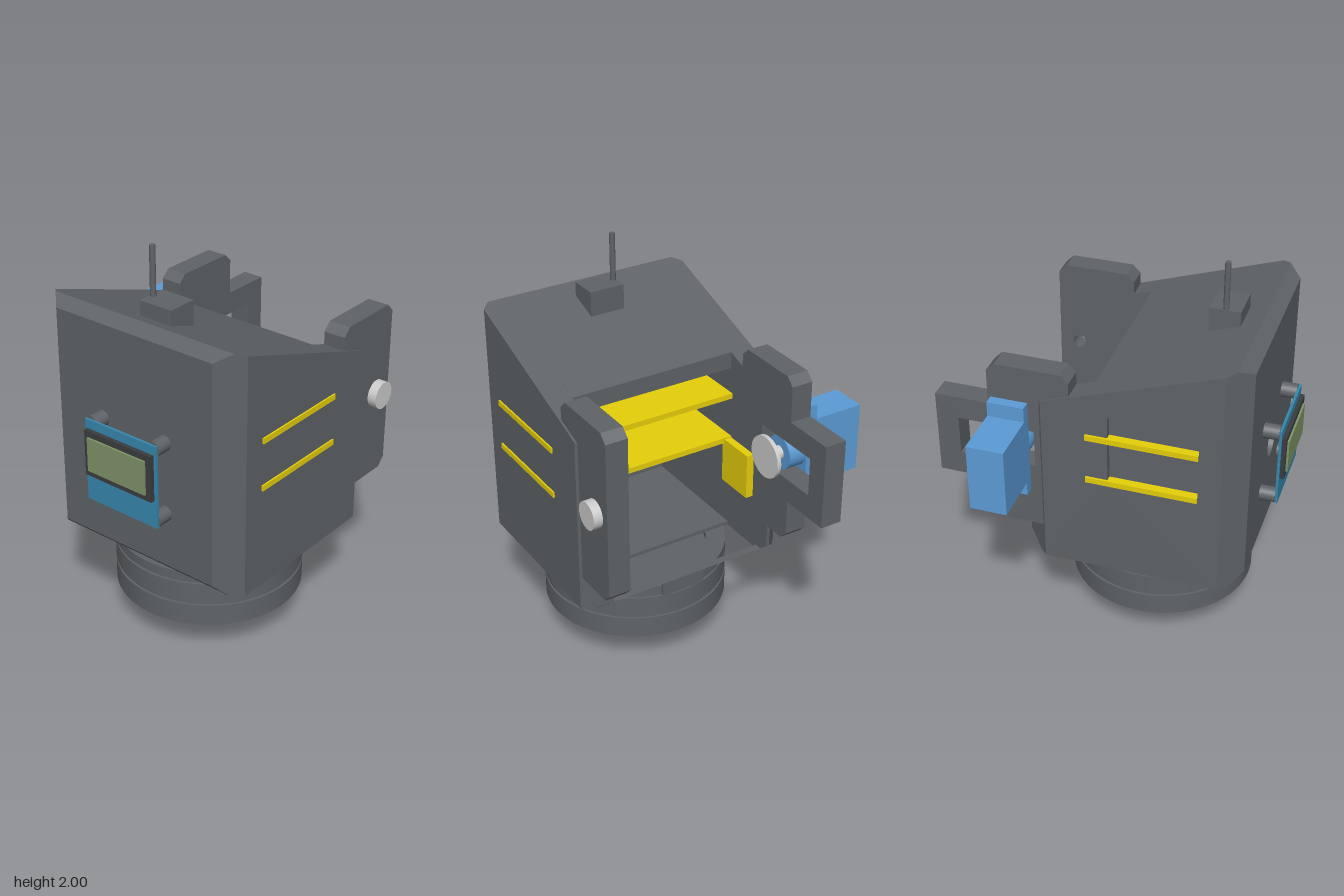
import * as THREE from 'three';
import { toCreasedNormals } from 'three/addons/utils/BufferGeometryUtils.js';

const mat = (color) => new THREE.MeshStandardMaterial({ color });
const ZC = 0.13; // the body and base are centred on this z
const AXIS = [0.435, 1.125]; // pivot axis of the ears (x, y)

const polygon = (points) => new THREE.Shape(points.map(([x, y]) => new THREE.Vector2(x, y)));
const rect = (x1, x2, y1, y2) => polygon([[x1, y1], [x2, y1], [x2, y2], [x1, y2]]);
const circle = (x, y, r) => new THREE.Shape().absarc(x, y, r, 0, Math.PI * 2);

export function createModel() {
  const model = new THREE.Group();
  const dark = mat(0x5f6367), yellow = mat(0xe6cf0a), blue = mat(0x5b9bd5);
  const teal = mat(0x3787ad), green = mat(0x7f9468), black = mat(0x3a3d40), pale = mat(0xcccccc);

  const add = (name, geometry, material) => {
    const mesh = new THREE.Mesh(geometry, material);
    mesh.name = name;
    model.add(mesh);
    return mesh;
  };
  const box = (name, material, x1, x2, y1, y2, z1, z2) =>
    add(name, new THREE.BoxGeometry(x2 - x1, y2 - y1, z2 - z1), material)
      .position.set((x1 + x2) / 2, (y1 + y2) / 2, (z1 + z2) / 2);
  const extrude = (shape, depth) =>
    new THREE.ExtrudeGeometry(shape, { depth, bevelEnabled: false, curveSegments: 32 });
  const slab = (name, shape, z1, z2, material = dark) =>
    add(name, extrude(shape, z2 - z1).translate(0, 0, z1), material);
  const rodZ = (name, material, x, y, r, z1, z2) =>
    add(name, new THREE.CylinderGeometry(r, r, z2 - z1, 40).rotateX(Math.PI / 2), material)
      .position.set(x, y, (z1 + z2) / 2);

  // Base: foot, lower disc with a pocket, grooved upper drum with a recessed top
  const baseDisc = rect(-0.46, 0.46, 0, 0) && circle(0, 0, 0.46);
  baseDisc.holes.push(rect(-0.4, -0.19, -0.11, 0.11));
  const foot = circle(0, 0, 0.19);
  foot.holes.push(circle(0, 0, 0.025));
  for (const [name, shape, y, height] of [['baseFoot', foot, 0, 0.19], ['baseDisc', baseDisc, 0.19, 0.11]]) {
    const g = new THREE.ExtrudeGeometry(shape, { depth: height, bevelEnabled: false, curveSegments: 64 });
    add(name, toCreasedNormals(g.rotateX(-Math.PI / 2), 0.5), dark).position.set(-0.155, y, ZC);
  }
  const drum = [[0, 0.3], [0.448, 0.3], [0.448, 0.315], [0.46, 0.315], [0.46, 0.42], [0.448, 0.42],
    [0.448, 0.432], [0.46, 0.432], [0.46, 0.48], [0.36, 0.48], [0.36, 0.44], [0, 0.44]];
  add('baseDrum', toCreasedNormals(
    new THREE.LatheGeometry(drum.map(([x, y]) => new THREE.Vector2(x, y)), 80), 0.5), dark)
    .position.set(-0.155, 0, ZC);
  box('baseTab', dark, 0.293, 0.308, 0.43, 0.52, 0.015, 0.245);

  // Side walls in three prisms; the outer face narrows toward both ends
  const rear = [[-0.685, 0.575], [-0.62, 0.51], [-0.58, 0.51], [-0.58, 1.706], [-0.62, 1.72], [-0.685, 1.68]];
  const middle = [[-0.58, 0.51], [0.28, 0.51], [0.28, 1.41], [-0.58, 1.706]];
  const front = [[0.28, 0.51], [0.315, 0.51], [0.39, 0.575], [0.39, 0.69], [0.295, 0.69], [0.295, 1.405], [0.28, 1.41]];
  const halfWidth = (x) => 0.55 - Math.max(0, -0.58 - x, (x - 0.28) * 0.955);
  for (const side of [1, -1]) {
    for (const points of [rear, front]) {
      const g = extrude(polygon(points), 0.12);
      g.translate(0, 0, side > 0 ? 0.43 : -0.55);
      const p = g.attributes.position;
      for (let i = 0; i < p.count; i++) {
        const w = halfWidth(p.getX(i));
        p.setZ(i, THREE.MathUtils.clamp(p.getZ(i), -w, w));
      }
      g.computeVertexNormals();
      add('sideWallEnd', g, dark).position.z = ZC;
    }
  }
  slab('sideWall', polygon(middle), 0.56, 0.68);
  slab('sideWall', polygon(middle), -0.39, -0.3);
  // Outer skin with a shallow window
  const skin = polygon(middle);
  skin.holes.push(rect(-0.47, -0.04, 1.035, 1.385));
  slab('windowSkin', skin, -0.42, -0.39);

  // Back wall with a cable hole, roof, floor and front lip between the side walls
  const back = rect(-0.56, 0.3, 0.575, 1.68);
  back.holes.push(circle(-ZC, 1.035, 0.08));
  add('backWall', extrude(back, 0.1).rotateY(Math.PI / 2), dark).position.x = -0.685;
  slab('roof', polygon([[-0.685, 1.68], [-0.585, 1.62], [0.05, 1.405], [0.05, 1.49], [-0.62, 1.72]]), -0.3, 0.56);
  slab('floor', polygon([[-0.685, 0.575], [-0.62, 0.51], [0.05, 0.51], [0.05, 0.53], [-0.585, 0.53], [-0.585, 0.575]]), -0.3, 0.56);
  slab('frontLip', polygon([[0.3, 0.51], [0.315, 0.51], [0.34, 0.53], [0.3, 0.53]]), -0.3, 0.56);

  // Shelves through the side walls, and the hanging block
  box('lowerShelf', yellow, -0.47, 0.066, 1.01, 1.038, -0.432, 0.688);
  box('upperShelf', yellow, -0.47, 0.066, 1.247, 1.275, -0.432, 0.688);
  box('hangingBlock', yellow, 0.05, 0.26, 0.795, 1.03, -0.3, -0.26);

  // Pivot ears; one carries the motor bracket
  const earLeft = [[0.145, 0.73], [0.185, 0.69], [0.5, 0.69], [0.54, 0.73]];
  const earTop = [[0.54, 1.52], [0.5, 1.56], [0.185, 1.56], [0.145, 1.52]];
  const plainEar = polygon([...earLeft, ...earTop]);
  plainEar.holes.push(circle(...AXIS, 0.035));
  slab('pivotEar', plainEar, 0.56, 0.67);
  const motorEar = polygon([...earLeft, [0.54, 0.91], [0.805, 0.91], [0.805, 1.34], [0.54, 1.34], ...earTop]);
  motorEar.holes.push(rect(0.32, 0.695, 1.03, 1.225));
  slab('motorEar', motorEar, -0.41, -0.3);
  rodZ('pivotPin', pale, ...AXIS, 0.068, 0.65, 0.715);

  // Motor with flange, gear boss, shaft and horn
  box('motorBody', blue, 0.345, 0.525, 0.96, 1.305, -0.715, -0.41);
  box('motorFlange', blue, 0.345, 0.525, 0.89, 1.38, -0.46, -0.41);
  rodZ('motorBoss', blue, ...AXIS, 0.085, -0.42, -0.32);
  rodZ('motorShaft', pale, ...AXIS, 0.035, -0.33, -0.25);
  rodZ('motorHorn', pale, ...AXIS, 0.106, -0.255, -0.235);

  // Display board on four standoffs
  for (const y of [0.855, 1.215]) {
    for (const z of [-0.053, 0.31]) {
      add('standoff', new THREE.CylinderGeometry(0.037, 0.037, 0.08, 24).rotateZ(Math.PI / 2), dark)
        .position.set(-0.722, y, z);
    }
  }
  box('displayBoard', teal, -0.774, -0.761, 0.825, 1.24, -0.08, 0.337);
  box('displayFrame', black, -0.795, -0.774, 0.965, 1.195, -0.068, 0.323);
  box('displayScreen', green, -0.805, -0.795, 0.995, 1.165, -0.045, 0.293);

  // Antenna on its block
  box('antennaBlock', dark, -0.525, -0.375, 1.6, 1.76, 0.04, 0.22);
  add('antenna', new THREE.CylinderGeometry(0.014, 0.014, 0.26, 16), dark).position.set(-0.452, 1.87, 0.054);

  return model;
}
